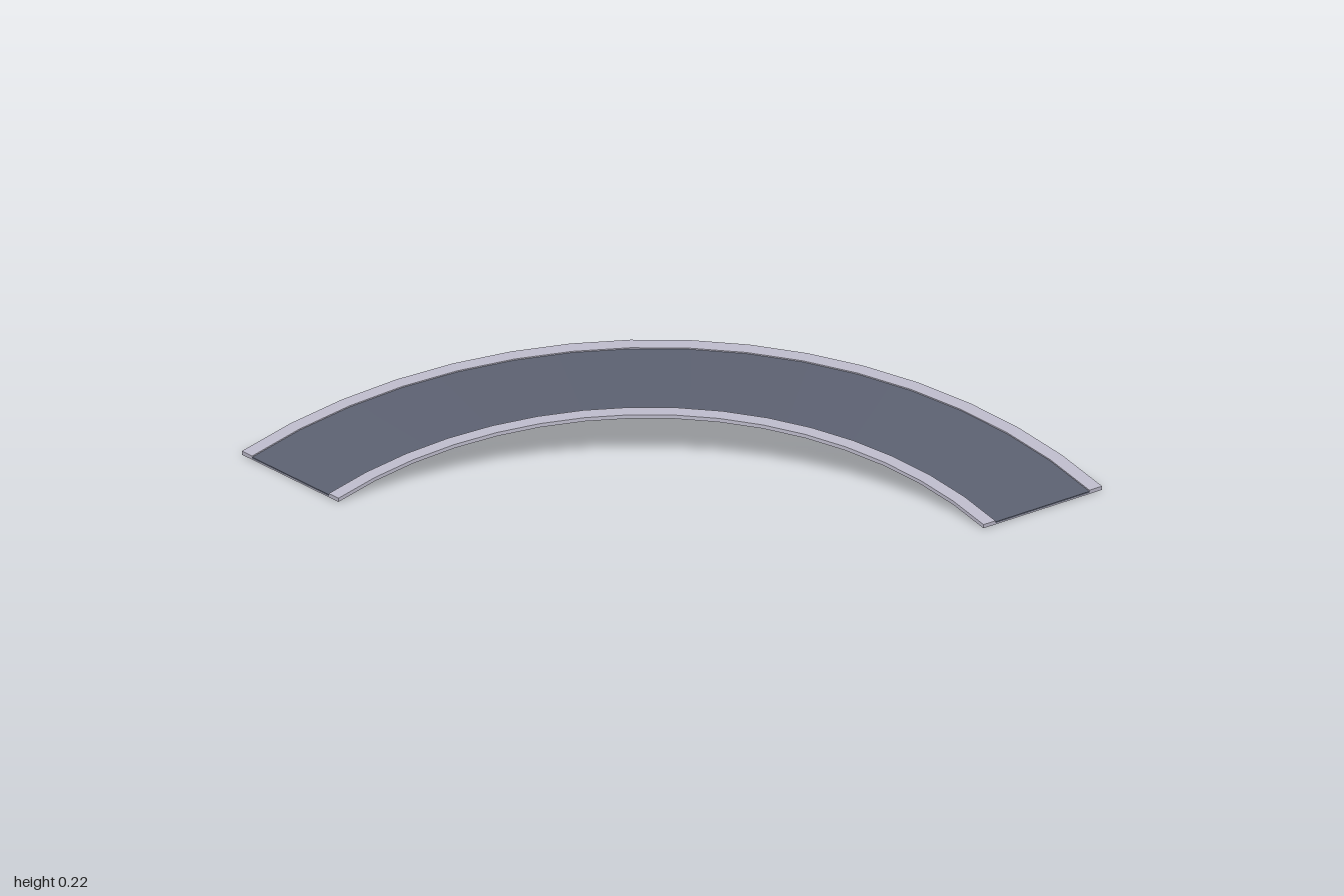
import * as THREE from 'three';

const STEPS = 16;
const RISE = 0.1025; // hump height as a share of the radius

// Point on the quarter bend at radius r, lift h above the humped underside
function bendPoint(r, h, t) {
  const a = t * Math.PI / 2;
  const y = RISE * r * 4 * t * (1 - t) + h;
  return [-1 + r * Math.sin(a), y, 1 - r * Math.cos(a)];
}

// Rectangular section swept round the bend, with crisp long edges and end caps
function sweep(name, rIn, rOut, bottom, top, material) {
  const section = [[rIn, bottom], [rOut, bottom], [rOut, top], [rIn, top]];
  const positions = [], index = [];
  for (let s = 0; s < 4; s++) {
    const base = positions.length / 3;
    for (let i = 0; i <= STEPS; i++) {
      for (const [r, h] of [section[s], section[(s + 1) % 4]]) {
        positions.push(...bendPoint(r, h, i / STEPS));
      }
      if (i < STEPS) {
        const k = base + i * 2;
        index.push(k, k + 1, k + 3, k, k + 3, k + 2);
      }
    }
  }
  for (const t of [0, 1]) {
    const k = positions.length / 3;
    for (const [r, h] of section) positions.push(...bendPoint(r, h, t));
    if (t) index.push(k, k + 1, k + 2, k, k + 2, k + 3);
    else index.push(k, k + 2, k + 1, k, k + 3, k + 2);
  }
  const geometry = new THREE.BufferGeometry();
  geometry.setAttribute('position', new THREE.Float32BufferAttribute(positions, 3));
  geometry.setIndex(index);
  geometry.computeVertexNormals();
  const mesh = new THREE.Mesh(geometry, material);
  mesh.name = name;
  return mesh;
}

export function createModel() {
  const kerb = new THREE.MeshStandardMaterial({ color: 0xbcbaca });
  kerb.name = 'pale kerb grey';
  const asphalt = new THREE.MeshStandardMaterial({ color: 0x5b6070 });
  asphalt.name = 'slate asphalt';

  const group = new THREE.Group();
  group.name = 'humpedRoadBend';
  group.add(
    sweep('roadBase', 1.5, 2, 0, 0.004, kerb),
    sweep('roadSurface', 1.55, 1.947, 0.004, 0.009, asphalt),
    sweep('innerKerb', 1.5, 1.55, 0.004, 0.013, kerb),
    sweep('outerKerb', 1.947, 2, 0.004, 0.013, kerb)
  );
  return group;
}
